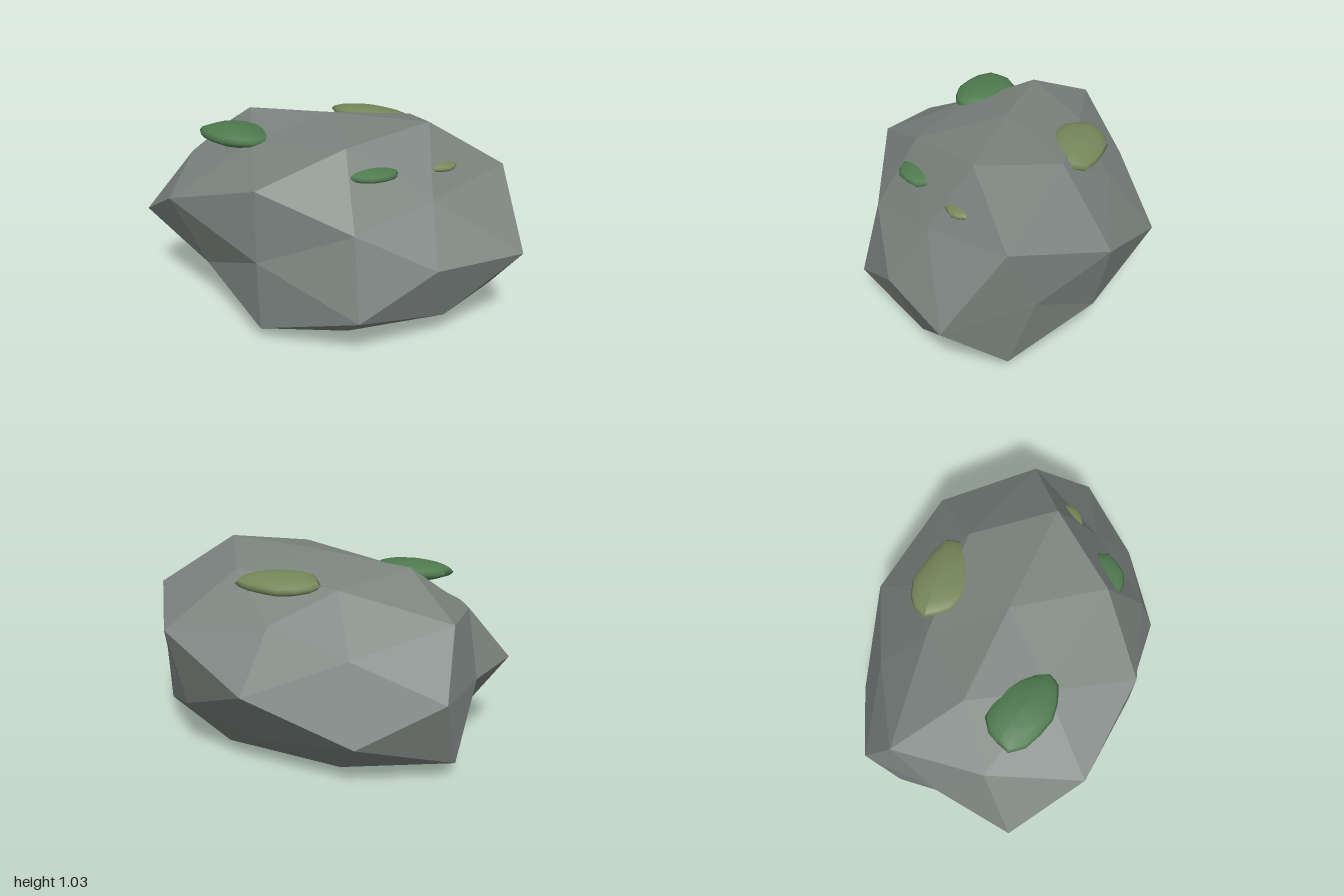
import * as THREE from 'three';

// Boulder body: a scaled icosphere around a centre, cut off at the ground
const center = new THREE.Vector3(-.09, .435, .05);
const radii = new THREE.Vector3(1.08, .7, .83);

// How far each family of icosphere corners is chipped in (1 = untouched).
// Within a family the signs run + then - for x, then y, then z.
const families = [
  { dir: [1, 0, 0], reach: [1.01, .81] },
  { dir: [0, 1, 0], reach: [.81, 1] },
  { dir: [0, 0, 1], reach: [.855, .97] },
  { dir: [.526, .851, 0], reach: [1, .93, .88, .82] },
  { dir: [0, .526, .851], reach: [.99, .78, .99, .82] },
  { dir: [.851, 0, .526], reach: [.87, .84, .99, .955] },
  { dir: [.809, .5, .309], reach: [.785, 1, .89, .97, .85, .95, .82, 1] },
  { dir: [.5, .309, .809], reach: [.85, 1, .985, .88, 1, .8, .8, .97] },
  { dir: [.309, .809, .5], reach: [.94, .89, 1, 1, .8, .79, 1, 1] },
];

const signs = (v) => (v ? [1, -1] : [1]);

function boulderGeometry() {
  const corners = [];
  for (const { dir: [x, y, z], reach } of families) {
    let i = 0;
    for (const sx of signs(x)) for (const sy of signs(y)) for (const sz of signs(z)) {
      corners.push({ dir: new THREE.Vector3(x * sx, y * sy, z * sz), reach: reach[i++] });
    }
  }
  const geo = new THREE.IcosahedronGeometry(1, 1);
  const pos = geo.attributes.position;
  const v = new THREE.Vector3();
  for (let i = 0; i < pos.count; i++) {
    v.fromBufferAttribute(pos, i);
    const corner = corners.reduce((a, b) => (b.dir.distanceTo(v) < a.dir.distanceTo(v) ? b : a));
    v.multiply(radii).multiplyScalar(corner.reach).add(center);
    pos.setXYZ(i, v.x, Math.max(0, v.y), v.z);
  }
  geo.computeVertexNormals();
  return geo;
}

// Flattened, slightly lumpy cushion
function mossPatch(name, color, at, size, tilt, phase) {
  const geo = new THREE.SphereGeometry(1, 14, 8);
  const pos = geo.attributes.position;
  for (let i = 0; i < pos.count; i++) {
    const x = pos.getX(i), z = pos.getZ(i);
    const a = Math.atan2(z, x);
    const r = 1 + Math.hypot(x, z) * (.05 * Math.sin(3 * a + phase) + .04 * Math.sin(5 * a + 2 * phase));
    pos.setXYZ(i, x * r * size[0], pos.getY(i) * size[1], z * r * size[2]);
  }
  geo.computeVertexNormals();
  const mesh = new THREE.Mesh(geo, new THREE.MeshStandardMaterial({ color }));
  mesh.name = name;
  mesh.position.set(...at);
  mesh.rotation.set(...tilt);
  return mesh;
}

export function createModel() {
  const group = new THREE.Group();
  group.name = 'mossyBoulder';

  const rock = new THREE.Mesh(
    boulderGeometry(),
    new THREE.MeshStandardMaterial({ color: 0x7a827e, flatShading: true }),
  );
  rock.name = 'boulder';
  group.add(rock);

  const green = 0x4f7a4f, olive = 0x76875a;
  group.add(
    mossPatch('mossFrontRight', green, [-.495, .895, .315], [.215, .05, .15], [0, -.2, 0], .6),
    mossPatch('mossBack', olive, [-.06, .9, -.34], [.225, .045, .14], [-.15, .08, 0], 2.1),
    mossPatch('mossFrontLeft', green, [.3, .843, .36], [.145, .035, .145], [0, 0, 0], 1.2),
    mossPatch('mossLeft', olive, [.55, .83, .08], [.085, .025, .085], [0, 0, 0], 3),
  );
  return group;
}
